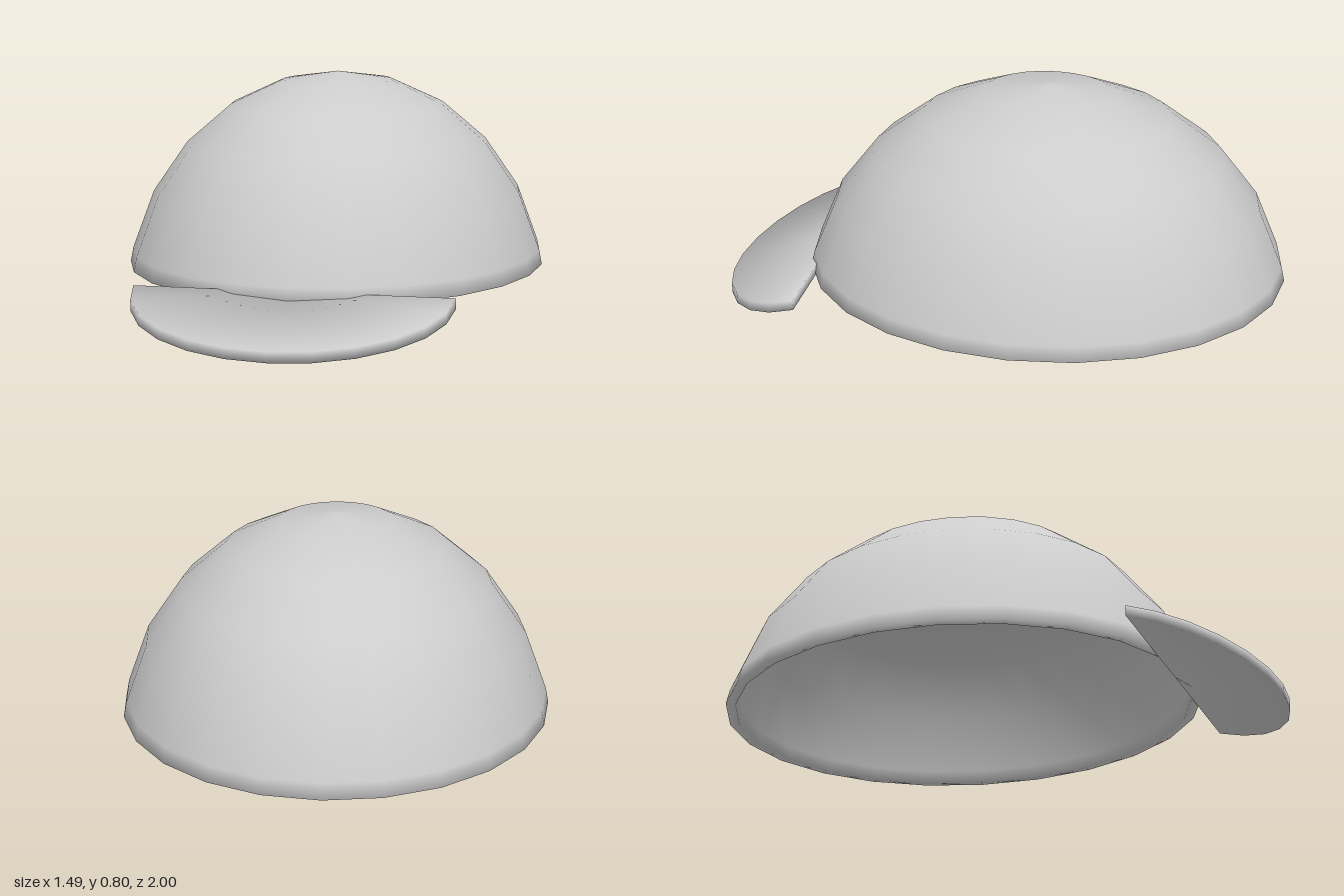
import * as THREE from 'three';
import { mergeGeometries, mergeVertices } from 'three/addons/utils/BufferGeometryUtils.js';

const grey = new THREE.MeshStandardMaterial({ color: 0xcccccc });
grey.name = 'light grey';

// Arc of the dome profile at 15 degree steps, from the pole down
function arc(radius, height) {
  const points = [];
  for (let i = 0; i <= 5; i++) {
    const a = THREE.MathUtils.degToRad(i * 15);
    points.push(new THREE.Vector2(radius * Math.sin(a), -0.05 + height * Math.cos(a)));
  }
  return points;
}

// Hollow oval crown with a rounded-looking rim
function createCrown() {
  const profile = [
    ...arc(0.835, 0.815),
    new THREE.Vector2(0.815, 0.115),
    new THREE.Vector2(0.85, 0.118),
    ...arc(0.868, 0.85).reverse(),
  ];
  const geometry = new THREE.LatheGeometry(profile, 24);
  geometry.scale(0.745 / 0.85, 1, 1);
  geometry.translate(0, 0, -0.15);
  const mesh = new THREE.Mesh(geometry, grey);
  mesh.name = 'crown';
  return mesh;
}

// Half-oval slab sloping down to the front
function createVisor() {
  const thickness = 0.036;
  const disc = new THREE.CylinderGeometry(1, 1, thickness, 12, 1, false, -Math.PI / 2, Math.PI);
  const back = new THREE.PlaneGeometry(2, thickness, 2, 1).rotateY(Math.PI);
  let geometry = mergeGeometries([disc, back]);
  geometry.deleteAttribute('normal');
  geometry.deleteAttribute('uv');
  geometry = mergeVertices(geometry, 1e-4);
  const pos = geometry.attributes.position;
  const normals = [];
  for (let i = 0; i < pos.count; i++) {
    const x = pos.getX(i), y = pos.getY(i), z = pos.getZ(i);
    // Soft edge: the normal leans halfway between the face and the side
    const side = Math.abs(x) < 0.01 && z < 0.01
      ? new THREE.Vector3(0, 0, -1)
      : new THREE.Vector3(x / 0.535, 0, z < 0.01 ? -1 : z / 0.36).normalize();
    const n = side.add(new THREE.Vector3(0, Math.sign(y), 0.3 * Math.sign(y))).normalize();
    normals.push(n.x, n.y, n.z);
    pos.setXYZ(i, x * 0.535, 0.131 + y - z * 0.113, 0.637 + z * 0.363);
  }
  geometry.setAttribute('normal', new THREE.Float32BufferAttribute(normals, 3));
  const mesh = new THREE.Mesh(geometry, grey);
  mesh.name = 'visor';
  return mesh;
}

export function createModel() {
  const cap = new THREE.Group();
  cap.name = 'cap';
  cap.add(createCrown(), createVisor());
  return cap;
}
